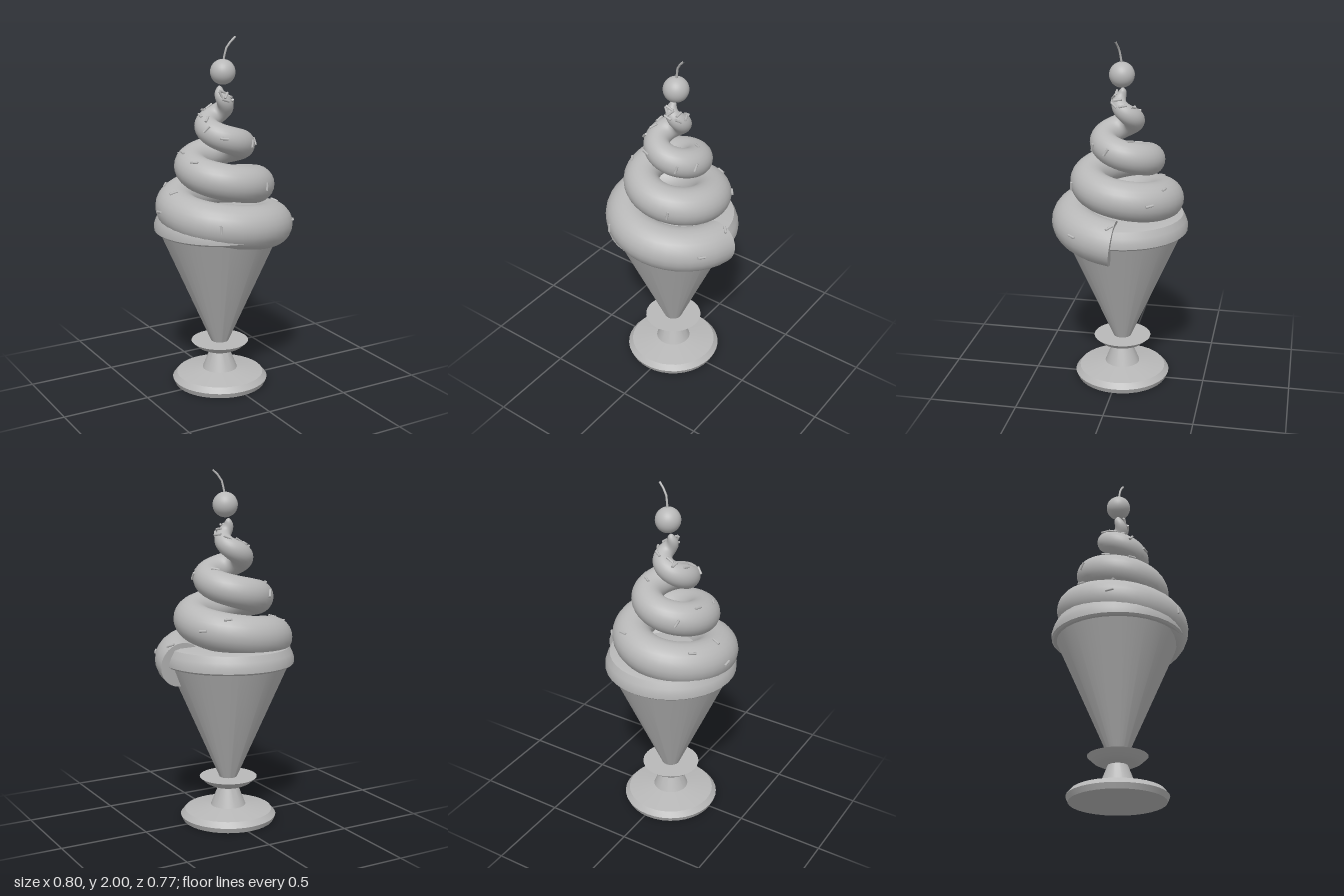
import * as THREE from 'three';
import { toCreasedNormals } from 'three/addons/utils/BufferGeometryUtils.js';

const CX = -0.02, CZ = -0.015, TURNS = 3.5;
const gray = new THREE.MeshStandardMaterial({ color: 0xb8b8b8 });
gray.name = 'gray';

function add(parent, name, geometry) {
  const mesh = new THREE.Mesh(geometry, gray);
  mesh.name = name;
  parent.add(mesh);
  return mesh;
}

function lathe(parent, name, profile) {
  const points = profile.map(([r, y]) => new THREE.Vector2(r, y));
  const mesh = add(parent, name, toCreasedNormals(new THREE.LatheGeometry(points, 36), 0.6));
  mesh.position.set(CX, 0, CZ);
}

// Shrinking helix: centre, tube radius and local frame after t turns
function swirlAt(t) {
  const a = t * Math.PI * 2;
  const R = Math.max(0, 0.295 - 0.086 * t);
  const out = new THREE.Vector3(Math.cos(a), 0, Math.sin(a));
  const along = new THREE.Vector3(-Math.sin(a) * R, 0.228 / (Math.PI * 2), Math.cos(a) * R).normalize();
  const up = new THREE.Vector3().crossVectors(along, out);
  const center = new THREE.Vector3(CX, 0.935 + 0.228 * t, CZ).addScaledVector(out, R);
  const radius = 0.127 * Math.sqrt(Math.max(0.0005, 1 - t / TURNS));
  return { out, along, up, center, radius };
}

function swirlGeometry() {
  const steps = 126, sides = 24, positions = [], index = [];
  for (let i = 0; i <= steps; i++) {
    const s = swirlAt(TURNS * i / steps);
    for (let j = 0; j < sides; j++) {
      const phi = j / sides * Math.PI * 2;
      const p = s.center.clone()
        .addScaledVector(s.out, s.radius * Math.cos(phi))
        .addScaledVector(s.up, s.radius * Math.sin(phi));
      positions.push(p.x, p.y, p.z);
      if (i < steps) {
        const k = (j + 1) % sides;
        const a = i * sides + j, b = i * sides + k;
        index.push(a, b, b + sides, a, b + sides, a + sides);
      }
    }
  }
  const g = new THREE.BufferGeometry();
  g.setAttribute('position', new THREE.Float32BufferAttribute(positions, 3));
  g.setIndex(index);
  g.computeVertexNormals();
  return g;
}

// [turns along the swirl, degrees up from its outer side, spin in degrees]
const SPRINKLES = [
  [0.01, 60, 50], [0.09, 12, 0], [0.2, -92, 20], [0.33, 5, 100], [0.51, 5, 20],
  [0.51, 72, 80], [0.61, 55, 0], [0.84, 50, 20], [0.9, 5, 15], [1.166, 0, 90],
  [1.445, 53, 20], [1.556, 60, 10], [1.645, 10, 70], [1.95, 88, 40], [2.05, 10, 75],
  [2.136, 0, 90], [2.31, 5, 15], [2.42, 25, 75], [2.57, 60, 20], [2.68, 65, 70],
  [2.9, 60, 30], [3.02, 40, 60], [3.1, 10, 20], [3.15, 60, 80], [3.2, -20, 45],
  [3.25, 30, 110], [3.3, 0, 10], [3.35, 45, 60], [2.75, 85, 0], [2.48, 70, 130],
];

function addSprinkles(parent) {
  const group = new THREE.Group();
  group.name = 'sprinkles';
  parent.add(group);
  const stick = new THREE.CylinderGeometry(0.007, 0.007, 0.045, 8);
  for (const [t, tilt, spin] of SPRINKLES) {
    const s = swirlAt(t);
    const phi = THREE.MathUtils.degToRad(tilt);
    const normal = s.out.clone().multiplyScalar(Math.cos(phi)).addScaledVector(s.up, Math.sin(phi));
    const dir = s.along.clone().applyAxisAngle(normal, THREE.MathUtils.degToRad(spin));
    const mesh = add(group, 'sprinkle', stick);
    mesh.position.copy(s.center).addScaledVector(normal, s.radius + 0.002);
    mesh.quaternion.setFromUnitVectors(new THREE.Vector3(0, 1, 0), dir);
  }
}

export function createModel() {
  const model = new THREE.Group();
  model.name = 'sundae';

  // Footed glass
  lathe(model, 'foot', [
    [0, 0], [0.262, 0], [0.275, 0.03], [0.25, 0.06], [0.1, 0.085],
    [0.055, 0.2], [0.1, 0.205], [0.13, 0.22], [0.165, 0.252], [0, 0.252],
  ]);
  lathe(model, 'bowl', [[0.05, 0.25], [0.345, 0.925]]);
  lathe(model, 'rim', [
    [0.335, 0.918], [0.36, 0.918], [0.371, 0.928], [0.371, 0.958],
    [0.362, 0.985], [0.345, 1.02], [0.31, 1.03], [0, 1.035],
  ]);

  // Whipped swirl with its flat cut end
  add(model, 'swirl', swirlGeometry());
  const start = swirlAt(0);
  const cap = add(model, 'swirlEnd', new THREE.CircleGeometry(start.radius, 24));
  cap.quaternion.setFromRotationMatrix(new THREE.Matrix4().makeBasis(
    start.out, start.up.clone().negate(), start.along.clone().negate()));
  cap.position.copy(start.center);
  addSprinkles(model);

  // Cherry and bent stem
  add(model, 'cherry', new THREE.SphereGeometry(0.07, 32, 20)).position.set(0, 1.807, -0.014);
  const path = new THREE.CatmullRomCurve3([
    new THREE.Vector3(0.003, 1.86, -0.015),
    new THREE.Vector3(0.02, 1.945, -0.003),
    new THREE.Vector3(0.066, 1.997, 0.01),
  ]);
  add(model, 'cherryStem', new THREE.TubeGeometry(path, 4, 0.006, 8));
  return model;
}
